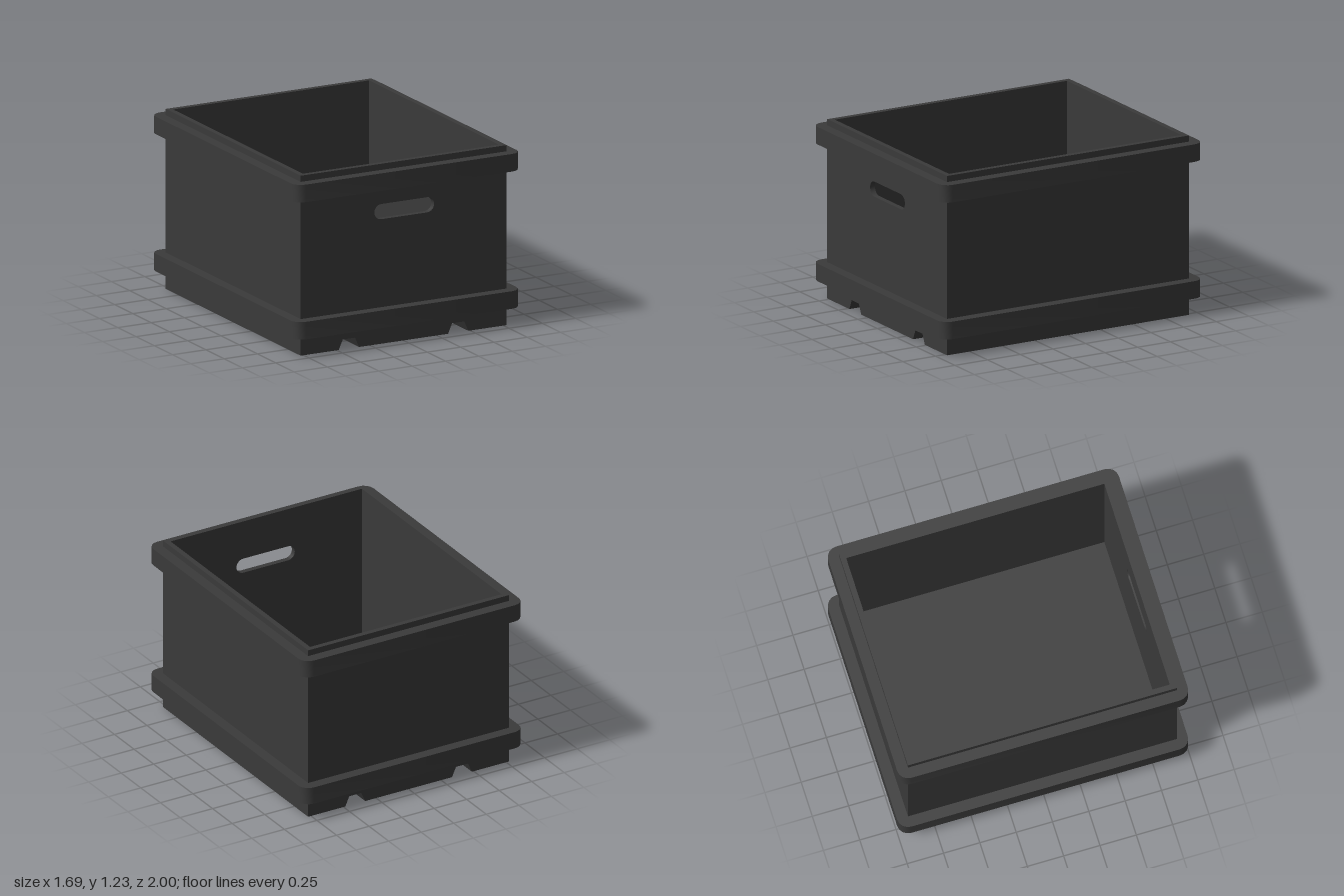
import * as THREE from 'three';
import { toCreasedNormals } from 'three/addons/utils/BufferGeometryUtils.js';

const X = 0.772, Z = 0.925;   // half width and half depth of the box
const WALL = 0.037, HEIGHT = 1.23, FLOOR = 0.11;
const BAND = 0.075;           // how far the bands stand out

const material = new THREE.MeshStandardMaterial({ color: 0x3a3a3a });

function extrude(shape, depth, curveSegments) {
  const geometry = new THREE.ExtrudeGeometry(shape, { depth, curveSegments, bevelEnabled: false });
  return toCreasedNormals(geometry, 0.9);
}

function addPart(group, name, geometry, x = 0, y = 0, z = 0) {
  const mesh = new THREE.Mesh(geometry, material);
  mesh.name = name;
  mesh.position.set(x, y, z);
  group.add(mesh);
  return mesh;
}

// Underside outline, left to right, with two tapered grooves
function startAtGroovedBottom() {
  const shape = new THREE.Shape();
  shape.moveTo(-X, 0);
  for (const c of [-0.41, 0.41]) {
    shape.lineTo(c - 0.076, 0);
    shape.lineTo(c - 0.046, 0.068);
    shape.lineTo(c + 0.046, 0.068);
    shape.lineTo(c + 0.076, 0);
  }
  shape.lineTo(X, 0);
  shape.lineTo(X, HEIGHT);
  return shape;
}

// Floor and both side walls share one U-shaped section
function trayShape() {
  const shape = startAtGroovedBottom();
  const inner = X - WALL;
  shape.lineTo(inner, HEIGHT);
  shape.lineTo(inner, FLOOR);
  shape.lineTo(-inner, FLOOR);
  shape.lineTo(-inner, HEIGHT);
  shape.lineTo(-X, HEIGHT);
  return shape;
}

// End wall, with an optional slot for the hand
function endShape(withHandle) {
  const shape = startAtGroovedBottom();
  shape.lineTo(-X, HEIGHT);
  if (withHandle) {
    const slot = new THREE.Path();
    const r = 0.052, half = 0.172, cx = 0.005, cy = 0.903;
    slot.absarc(cx + half, cy, r, -Math.PI / 2, Math.PI / 2);
    slot.absarc(cx - half, cy, r, Math.PI / 2, Math.PI * 1.5);
    slot.closePath();
    shape.holes.push(slot);
  }
  return shape;
}

// Band around the box with rounded corners
function bandShape() {
  const shape = new THREE.Shape();
  const corners = [[X, Z], [-X, Z], [-X, -Z], [X, -Z]];
  corners.forEach(([x, z], i) => {
    shape.absarc(x, z, BAND, i * Math.PI / 2, (i + 1) * Math.PI / 2);
  });
  shape.closePath();
  shape.holes.push(new THREE.Path(corners.map(([x, z]) => new THREE.Vector2(x, z))));
  return shape;
}

export function createModel() {
  const crate = new THREE.Group();
  crate.name = 'crate';

  const innerZ = Z - WALL;
  addPart(crate, 'floorAndSideWalls', extrude(trayShape(), innerZ * 2, 1), 0, 0, -innerZ);
  addPart(crate, 'frontWall', extrude(endShape(true), WALL, 8), 0, 0, innerZ);
  addPart(crate, 'backWall', extrude(endShape(false), WALL, 1), 0, 0, -Z);

  // Each corner of the bands has two facets, shaded smooth
  const band = extrude(bandShape(), 0.12, 2).rotateX(-Math.PI / 2);
  addPart(crate, 'lowerBand', band, 0, 0.13);
  addPart(crate, 'upperBand', band, 0, 1.068);

  return crate;
}
